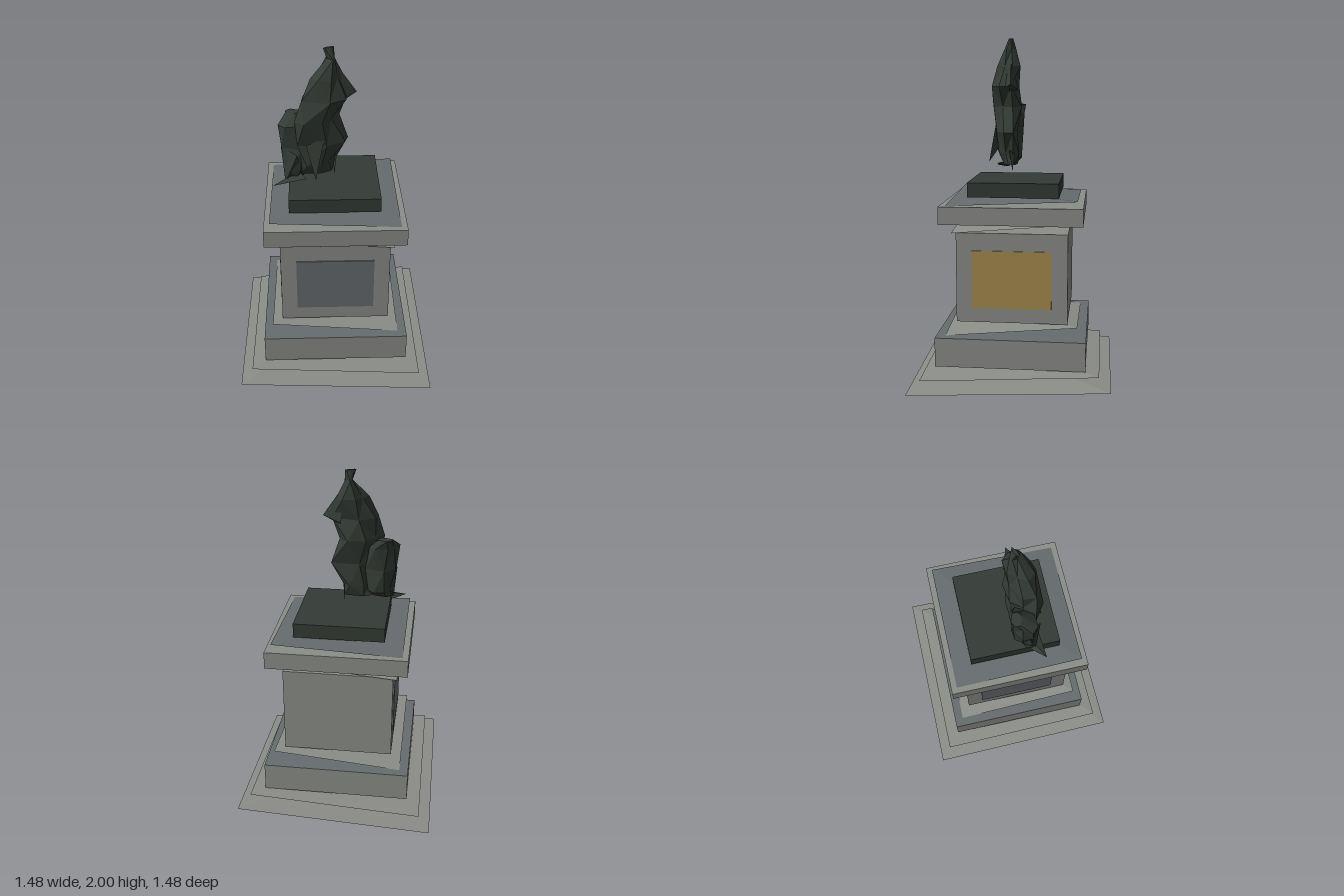
import * as THREE from 'three';
import { ConvexGeometry } from 'three/addons/geometries/ConvexGeometry.js';

const material = (name, color) => {
  const m = new THREE.MeshStandardMaterial({ color });
  m.name = name;
  return m;
};

export function createModel() {
  const stone = material('stone grey', 0x8c8e89);
  const slate = material('slate grey', 0x676c6f);
  const brass = material('brass', 0xa68d4e);
  const bronze = material('dark bronze', 0x343b35);

  const model = new THREE.Group();
  model.name = 'monument';
  const pedestal = new THREE.Group();
  pedestal.name = 'pedestal';
  pedestal.rotation.y = -THREE.MathUtils.degToRad(20);
  const statue = new THREE.Group();
  statue.name = 'statue';
  model.add(pedestal, statue);

  const add = (parent, name, geometry, mat) => {
    const mesh = new THREE.Mesh(geometry, mat);
    mesh.name = name;
    parent.add(mesh);
    return mesh;
  };

  const flat = (points) => {
    const g = new THREE.BufferGeometry().setFromPoints(points);
    g.computeVertexNormals();
    return g;
  };

  // Square block of half width h between two heights
  const block = (name, h, y0, y1, mat) => {
    const mesh = add(pedestal, name, new THREE.BoxGeometry(2 * h, y1 - y0, 2 * h), mat);
    mesh.position.y = (y0 + y1) / 2;
  };

  // Folded moulding: two opposite corners low, the other two high
  const moulding = (name, h, y0, y1, mat) => {
    const a = new THREE.Vector3(-h, y0, -h), b = new THREE.Vector3(h, y1, -h);
    const c = new THREE.Vector3(h, y0, h), d = new THREE.Vector3(-h, y1, h);
    add(pedestal, name, flat([d, c, b, b, a, d, a, c, d, a, b, c]), mat);
  };

  // Pedestal, bottom to top
  moulding('lowerStep', 0.577, 0, 0.062, stone);
  moulding('upperStep', 0.511, 0.062, 0.125, stone);
  block('baseBlock', 0.433, 0.125, 0.295, [stone, stone, slate, stone, stone, stone]);
  moulding('baseMoulding', 0.381, 0.295, 0.365, stone);
  block('body', 0.323, 0.365, 0.893, stone);
  moulding('neckMoulding', 0.346, 0.893, 0.953, stone);
  block('cornice', 0.409, 0.953, 1.055, stone);
  moulding('capMoulding', 0.375, 1.055, 1.09, slate);
  block('statuePlinth', 0.265, 1.09, 1.175, bronze);

  // Panels on three sides of the body
  [['frontPanel', 0, slate], ['leftPanel', Math.PI / 2, brass], ['rightPanel', -Math.PI / 2, slate]]
    .forEach(([name, angle, mat]) => {
      const panel = add(pedestal, name, new THREE.BoxGeometry(0.46, 0.34, 0.008), mat);
      panel.position.set(Math.sin(angle) * 0.325, 0.62, Math.cos(angle) * 0.325);
      panel.rotation.y = angle;
    });

  // Faceted loft through rings given as [y, xMin, xMax, zMin, zMax]
  const loft = (rings) => {
    const n = 8;
    const loops = rings.map(([y, x0, x1, z0, z1], r) => Array.from({ length: n }, (_, i) => {
      const t = (i / n) * Math.PI * 2;
      const k = i % 2 ? ((i >> 1) + r) % 2 ? 0.72 : 1.08 : 1;
      return new THREE.Vector3(
        (x0 + x1) / 2 + (x1 - x0) / 2 * k * Math.cos(t), y,
        (z0 + z1) / 2 + (z1 - z0) / 2 * k * Math.sin(t));
    }));
    const tris = [];
    for (let r = 0; r < loops.length - 1; r++) {
      for (let i = 0; i < n; i++) {
        const j = (i + 1) % n, lo = loops[r], hi = loops[r + 1];
        if ((i + r) % 2) tris.push(lo[i], hi[i], lo[j], lo[j], hi[i], hi[j]);
        else tris.push(lo[i], hi[i], hi[j], lo[i], hi[j], lo[j]);
      }
    }
    const bottom = loops[0], top = loops[loops.length - 1];
    for (let i = 1; i < n - 1; i++) {
      tris.push(bottom[0], bottom[i], bottom[i + 1], top[0], top[i + 1], top[i]);
    }
    return flat(tris);
  };

  // Draped figure
  add(statue, 'figure', loft([
    [1.25, -0.21, -0.01, -0.03, 0.06],
    [1.32, -0.22, 0.0, -0.03, 0.09],
    [1.45, -0.24, 0.07, -0.02, 0.11],
    [1.60, -0.25, 0.02, -0.05, 0.12],
    [1.72, -0.215, 0.06, -0.03, 0.14],
    [1.84, -0.155, 0.04, -0.03, 0.11],
    [1.94, -0.055, -0.01, 0.0, 0.07],
    [2.0, -0.075, -0.01, 0.02, 0.04],
  ]), bronze);

  // Mass beside and behind the figure
  add(statue, 'sideDrapery', loft([
    [1.24, -0.303, -0.18, -0.05, 0.03],
    [1.28, -0.303, -0.14, -0.08, 0.04],
    [1.42, -0.312, -0.12, -0.09, 0.05],
    [1.56, -0.325, -0.14, -0.10, 0.03],
    [1.61, -0.265, -0.18, -0.11, -0.04],
  ]), bronze);

  // Pointed folds, each the hull of a few corners
  const folds = {
    shoulder: [[0.11, 1.735, 0.07], [0.0, 1.9, 0.04], [0.0, 1.7, 0.1], [0.02, 1.7, 0.0], [0.035, 1.69, 0.06]],
    frontFold: [[-0.165, 1.26, 0.14], [-0.2, 1.46, 0.08], [-0.1, 1.5, 0.11], [-0.12, 1.4, 0.05]],
    sideFold: [[-0.305, 1.21, 0.01], [-0.31, 1.42, -0.04], [-0.25, 1.4, 0.07], [-0.2, 1.26, 0.0]],
    footFold: [[-0.39, 1.212, 0.03], [-0.3, 1.212, -0.02], [-0.2, 1.245, 0.08], [-0.22, 1.26, 0.0]],
    cornerFold: [[-0.008, 1.21, 0.03], [-0.015, 1.34, 0.02], [-0.003, 1.34, 0.05], [0.0, 1.32, 0.02]],
  };
  for (const [name, pts] of Object.entries(folds)) {
    add(statue, name, new ConvexGeometry(pts.map((p) => new THREE.Vector3(...p))), bronze);
  }

  return model;
}
